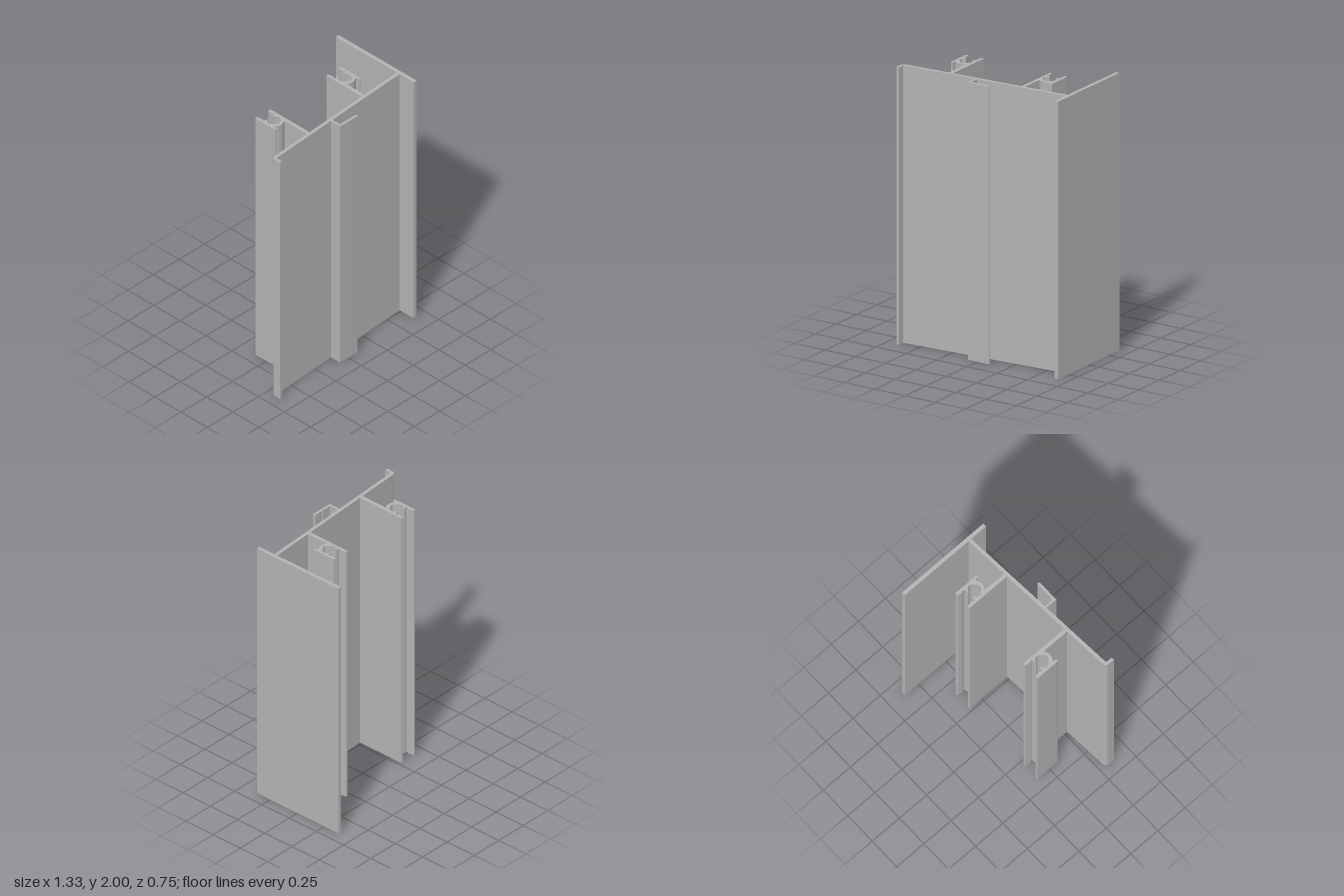
import * as THREE from 'three';

const HEIGHT = 2;

// Upper and lower edge of the slanted web at a given x
const webBack = (x) => 0.252 - 0.065 * x;
const webFront = (x) => webBack(x) + 0.026;

export function createModel() {
  const group = new THREE.Group();
  const aluminium = new THREE.MeshStandardMaterial({ color: 0xb2b2b2 });
  aluminium.name = 'aluminium';

  // Extrude an (x, z) cross-section upright from y = 0
  function profile(name, shape) {
    const geometry = new THREE.ExtrudeGeometry(shape, { depth: HEIGHT, bevelEnabled: false, curveSegments: 6 });
    geometry.rotateX(Math.PI / 2).translate(0, HEIGHT, 0);
    const mesh = new THREE.Mesh(geometry, aluminium);
    mesh.name = name;
    group.add(mesh);
  }
  const polygon = (points) => new THREE.Shape(points.map(([x, z]) => new THREE.Vector2(x, z)));

  // Slanted web ending in a rounded lip on the right
  const web = new THREE.Shape();
  web.moveTo(0.638, webBack(0.638));
  web.lineTo(-0.635, webBack(-0.635));
  web.quadraticCurveTo(-0.666, 0.296, -0.666, 0.328);
  web.lineTo(-0.666, 0.372);
  web.lineTo(-0.645, 0.372);
  web.lineTo(-0.645, 0.332);
  web.quadraticCurveTo(-0.645, 0.32, -0.632, webFront(-0.632));
  web.lineTo(0.638, webFront(0.638));
  profile('webWithLip', web);

  // Long side flange
  profile('sideFlange', polygon([[0.638, -0.375], [0.666, -0.375], [0.666, 0.372], [0.638, 0.372]]));

  // L-shaped hook on the front, with a small score line and rounded tip
  profile('frontHook', polygon([
    [-0.078, webFront(-0.078)], [-0.078, 0.372], [0.09, 0.372], [0.096, 0.367], [0.096, 0.358],
    [0.09, 0.353], [0.023, 0.353], [0.018, 0.358], [0.013, 0.353], [-0.062, 0.353], [-0.062, webFront(-0.062)],
  ]));

  // Half of the clip channel: prong tip, catch, and round pocket, measured from its axis
  const inner = [
    [0.073, -0.105], [0.069, -0.11], [0.056, -0.11], [0.052, -0.105], [0.046, -0.066], [0.054, -0.057],
    [0.053, -0.044], [0.03, -0.042], [0.024, -0.035], [0.043, -0.022], [0.05, -0.012], [0.05, 0.01],
    [0.03, 0.032], [0.016, 0.046],
  ];
  const axis = 0.345;
  for (const side of [-1, 1]) {
    // The stem stands on the half nearer the centre
    const toX = (u) => side * (axis - u);
    const points = [
      ...inner, [0, 0.05],
      ...inner.map(([u, z]) => [-u, z]).reverse(),
      [-0.073, 0.079], [-0.069, 0.083], [-0.058, 0.083], [-0.054, 0.079], [-0.054, 0.056],
      [-0.034, 0.064], [-0.018, 0.07], [0, 0.072], [0.018, 0.07], [0.034, 0.062], [0.045, 0.058],
      [0.045, webBack(toX(0.045))], [0.073, webBack(toX(0.073))],
    ].map(([u, z]) => [toX(u), z]);
    profile(side < 0 ? 'rightClipChannel' : 'leftClipChannel', polygon(points));
  }
  return group;
}
